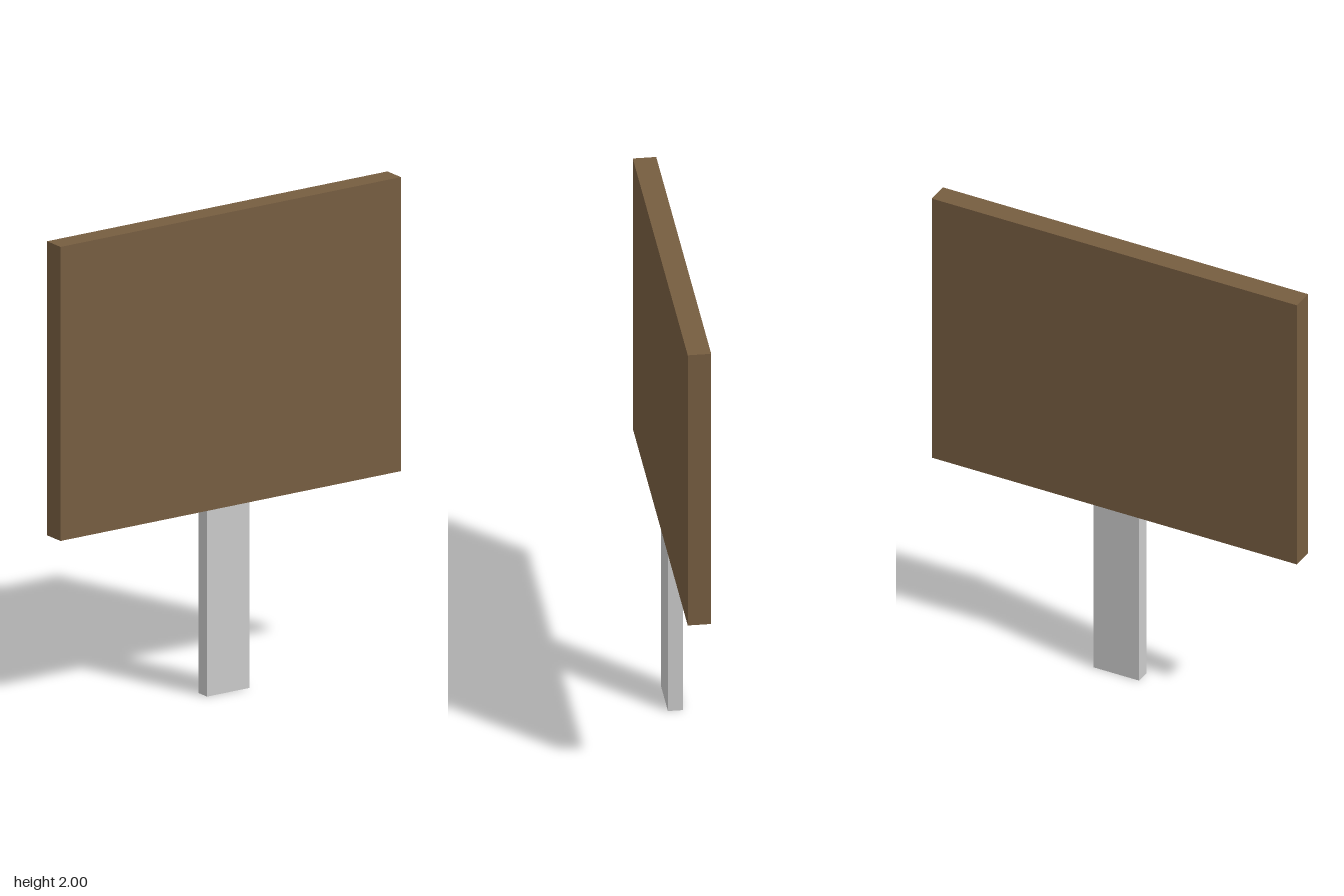
import * as THREE from 'three';

export function createModel() {
  const group = new THREE.Group();
  const wood = new THREE.MeshStandardMaterial({ color: 0x765d40 });
  wood.name = 'brown wood';
  const metal = new THREE.MeshStandardMaterial({ color: 0xcacaca });
  metal.name = 'light grey metal';

  // Box standing on the given base height
  const addBox = (name, width, height, depth, base, material) => {
    const mesh = new THREE.Mesh(new THREE.BoxGeometry(width, height, depth), material);
    mesh.name = name;
    mesh.position.y = base + height / 2;
    group.add(mesh);
  };

  // Flat upright post, with the sign board resting on top
  addBox('post', 0.206, 0.778, 0.06, 0, metal);
  addBox('signBoard', 1.65, 1.222, 0.094, 0.778, wood);

  return group;
}
